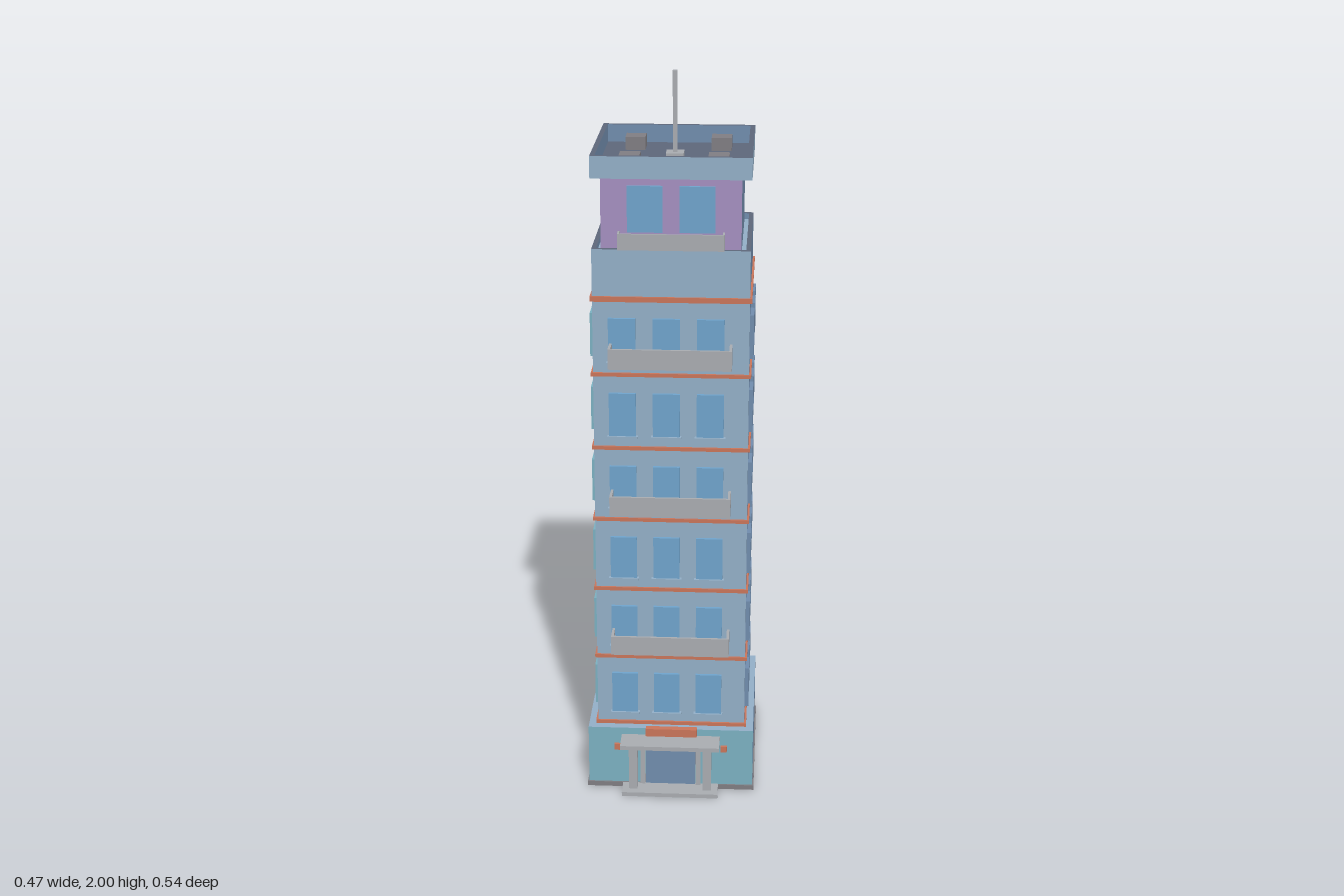
import * as THREE from 'three';

const mat = (name, color) => {
  const m = new THREE.MeshStandardMaterial({ color });
  m.name = name;
  return m;
};

export function createModel() {
  const lightWall = mat('light blue wall', 0x92aec6);
  const sideWall = mat('slate blue wall', 0x708cac);
  const glass = mat('blue glass', 0x6fa3cb);
  const teal = mat('teal', 0x7ab0c0);
  const orange = mat('orange trim', 0xc8745a);
  const purple = mat('purple wall', 0xa48fbf);
  const roofDark = mat('dark roof', 0x5d667a);
  const stone = mat('light grey stone', 0xa8abb0);
  const darkGrey = mat('dark grey', 0x7f7d82);

  const model = new THREE.Group();
  model.name = 'towerBlock';
  const CZ = -0.034; // centre of the tower in z

  // Box from min/max corners; material may be an array (+x, -x, +y, -y, +z, -z)
  const box = (name, material, [x0, x1], [y0, y1], [z0, z1], parent = model) => {
    const mesh = new THREE.Mesh(new THREE.BoxGeometry(x1 - x0, y1 - y0, z1 - z0), material);
    mesh.position.set((x0 + x1) / 2, (y0 + y1) / 2, (z0 + z1) / 2);
    mesh.name = name;
    parent.add(mesh);
    return mesh;
  };
  const span = (c, w) => [c - w / 2, c + w / 2];
  const group = (name) => {
    const g = new THREE.Group();
    g.name = name;
    model.add(g);
    return g;
  };

  // Square rim of four walls around the tower axis
  const rim = (name, half, t, y, front, rest, inner, top) => {
    const g = group(name);
    const z0 = CZ - half, z1 = CZ + half;
    box('rimFront', [rest, rest, top, roofDark, front, inner], [-half, half], y, [z1 - t, z1], g);
    box('rimBack', [rest, rest, top, roofDark, inner, rest], [-half, half], y, [z0, z0 + t], g);
    box('rimLeft', [rest, inner, top, roofDark, inner, inner], [half - t, half], y, [z0 + t, z1 - t], g);
    box('rimRight', [inner, rest, top, roofDark, inner, inner], [-half, -half + t], y, [z0 + t, z1 - t], g);
  };

  // Ground floor
  box('plinth', darkGrey, span(0, 0.472), [0, 0.014], span(CZ, 0.472));
  box('groundFloor', [sideWall, sideWall, lightWall, sideWall, teal, sideWall],
    span(0, 0.464), [0.014, 0.187], span(CZ, 0.464));
  for (const z of [-0.16, 0.093])
    box('groundWindow', teal, [-0.237, -0.23], [0.03, 0.14], span(z, 0.114));

  // Entrance
  const entrance = group('entrance');
  box('doorStep', stone, [-0.135, 0.135], [0.002, 0.014], [0.19, 0.258], entrance);
  box('door', sideWall, [-0.07, 0.07], [0.014, 0.145], [0.19, 0.203], entrance);
  for (const s of [-1, 1]) {
    box('canopyPost', stone, span(s * 0.104, 0.024), [0.014, 0.156], [0.212, 0.236], entrance);
    box('doorJamb', stone, span(s * 0.078, 0.014), [0.014, 0.156], [0.19, 0.207], entrance);
    box('wallLamp', orange, span(s * 0.15, 0.018), [0.12, 0.138], [0.19, 0.206], entrance);
  }
  box('doorLintel', stone, [-0.085, 0.085], [0.143, 0.156], [0.19, 0.207], entrance);
  box('canopy', stone, [-0.138, 0.139], [0.155, 0.167], [0.19, 0.267], entrance);
  box('signPanel', orange, [-0.07, 0.074], [0.167, 0.19], [0.19, 0.208], entrance);

  // Tower shaft with a low rim at the setback
  const H = 0.2065;
  box('tower', [sideWall, sideWall, lightWall, sideWall, lightWall, sideWall],
    span(0, 2 * H), [0.187, 1.556], span(CZ, 2 * H));
  rim('setbackRim', H, 0.012, [1.556, 1.572], lightWall, sideWall, sideWall, roofDark);

  // Floors: bands, windows on all sides, balconies on every second floor
  const STEP = 0.2075;
  for (let i = 0; i <= 6; i++)
    box('floorBand', orange, span(0, 0.424), span(0.194 + i * STEP, i === 6 ? 0.014 : 0.01), span(CZ, 0.424));

  const windows = group('windows');
  for (let i = 0; i < 6; i++) {
    const y = [0.23 + i * STEP, 0.35 + i * STEP];
    const sillY = [y[0] - 0.006, y[0]];
    for (let j = -1; j <= 1; j++) {
      const x = -0.012 + j * 0.117;
      const z = -0.018 + j * 0.115;
      box('frontWindow', glass, span(x, 0.072), y, [0.17, 0.181], windows);
      box('frontSill', lightWall, span(x, 0.082), sillY, [0.17, 0.186], windows);
      box('backWindow', sideWall, span(x, 0.07), y, [-0.25, -0.235], windows);
      box('leftWindow', sideWall, [0.2, 0.217], y, span(z, 0.07), windows);
      box('rightWindow', teal, [-0.217, -0.2], y, span(z, 0.07), windows);
    }
  }

  // Open-topped balcony: floor, front rail and two side rails
  const balcony = (name, [x0, x1], [y0, y1], [z0, z1], t) => {
    const g = group(name);
    box('balconyFloor', [stone, stone, darkGrey, stone, stone, stone], [x0, x1], [y0, y0 + t], [z0, z1], g);
    box('balconyFront', stone, [x0, x1], [y0 + t, y1], [z1 - t, z1], g);
    box('balconySide', stone, [x0, x0 + t], [y0 + t, y1], [z0, z1 - t], g);
    box('balconySide', stone, [x1 - t, x1], [y0 + t, y1], [z0, z1 - t], g);
  };
  for (const y of [0.435, 0.85, 1.265])
    balcony('balcony', [-0.162, 0.162], [y, y + 0.055], [0.172, 0.235], 0.007);

  // Penthouse
  box('penthouse', [sideWall, sideWall, roofDark, sideWall, purple, sideWall],
    [-0.183, 0.182], [1.556, 1.76], [-0.21, 0.155]);
  for (const x of [-0.068, 0.068])
    box('penthouseWindow', glass, span(x, 0.092), [1.615, 1.737], [0.15, 0.162]);
  balcony('penthouseBalcony', [-0.138, 0.139], [1.574, 1.617], [0.154, 0.188], 0.005);

  // Roof slab and parapet
  box('roofSlab', [lightWall, lightWall, roofDark, roofDark, lightWall, lightWall],
    span(0, 0.416), [1.758, 1.768], span(CZ, 0.416));
  rim('parapet', 0.208, 0.013, [1.768, 1.816], lightWall, lightWall, sideWall, roofDark);

  // Roof equipment and mast
  for (const x of [-0.112, 0.12])
    for (const z of [-0.154, 0.077])
      box('roofUnit', darkGrey, span(x, 0.054), [1.768, 1.803], span(z, 0.054));
  box('mastBase', stone, span(0, 0.047), [1.768, 1.785], span(CZ, 0.047));
  box('mast', stone, span(0, 0.012), [1.785, 2.0], span(CZ, 0.012));

  return model;
}
